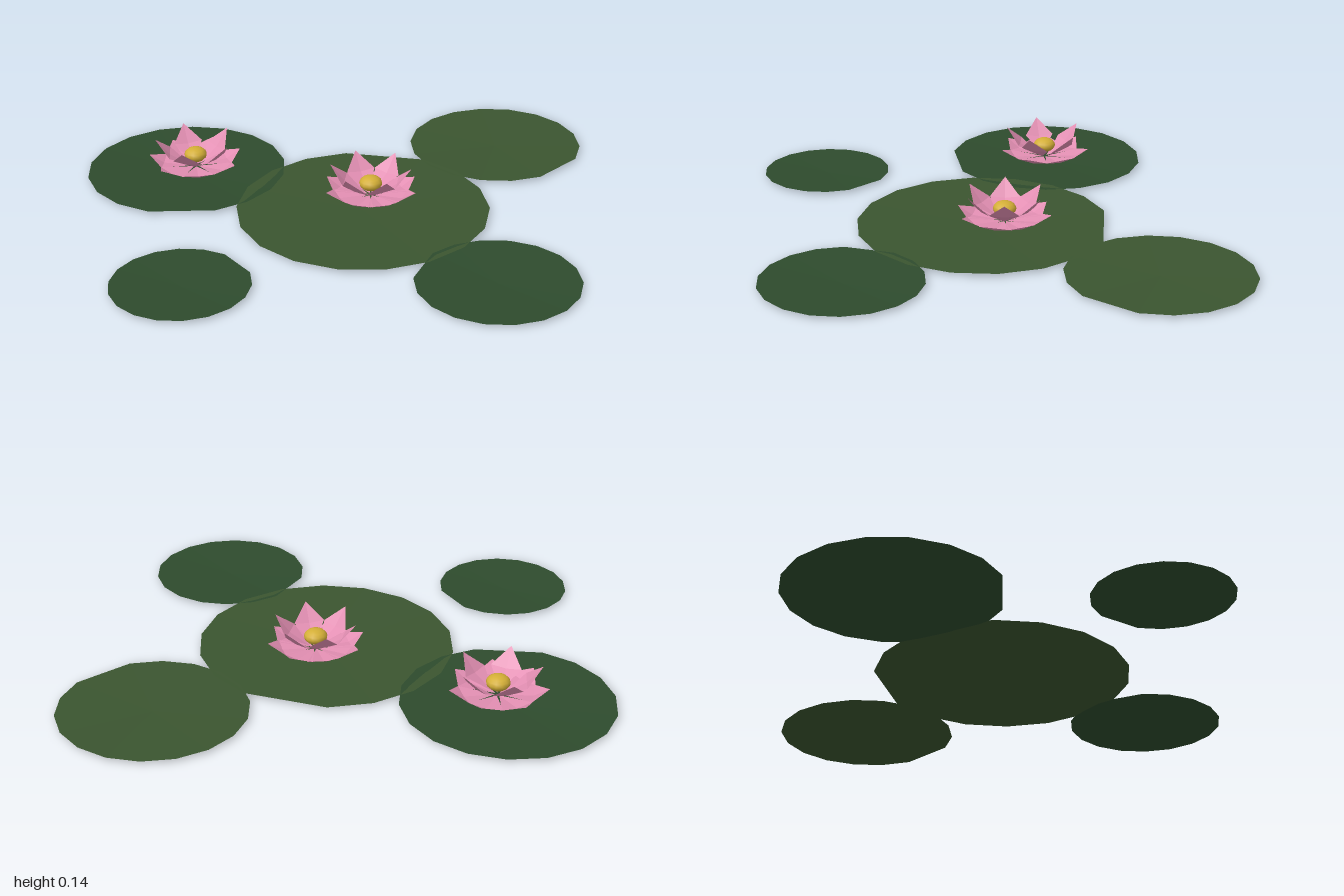
import * as THREE from 'three';

const material = (color) =>
  new THREE.MeshStandardMaterial({ color, flatShading: true, side: THREE.DoubleSide });

function facets(points, indices) {
  const g = new THREE.BufferGeometry();
  g.setAttribute('position', new THREE.Float32BufferAttribute(points.flat(), 3));
  g.setIndex(indices);
  const flat = g.toNonIndexed();
  flat.computeVertexNormals();
  return flat;
}

// Shallow dished leaf: a rim arc whose gap is closed by one straight edge
function padGeometry(radius, startDeg) {
  const segments = 16, arc = THREE.MathUtils.degToRad(322);
  const start = THREE.MathUtils.degToRad(startDeg);
  const points = [[0, 0, 0]], indices = [];
  for (let i = 0; i <= segments; i++) {
    const a = start + (arc * i) / segments;
    points.push([radius * Math.cos(a), 0.01, radius * Math.sin(a)]);
    indices.push(0, i === segments ? 1 : i + 2, i + 1);
  }
  return facets(points, indices);
}

// Kite-shaped petal pointing along +x, folded along its midrib
function petalGeometry({ base, mid, tip, halfWidth, cup }) {
  const points = [
    [base[0], base[1], 0],
    [mid[0], mid[1] + cup, halfWidth],
    [mid[0], mid[1], 0],
    [mid[0], mid[1] + cup, -halfWidth],
    [tip[0], tip[1], 0],
  ];
  return facets(points, [0, 1, 2, 0, 2, 3, 1, 4, 2, 2, 4, 3]);
}

const outerPetal = petalGeometry({
  base: [0.01, 0.027], mid: [0.12, 0.034], tip: [0.173, 0.065], halfWidth: 0.06, cup: 0.008,
});
const innerPetal = petalGeometry({
  base: [0.02, 0.03], mid: [0.095, 0.075], tip: [0.147, 0.137], halfWidth: 0.054, cup: 0.006,
});
const pink = material(0xe38fb3);
const yellow = new THREE.MeshStandardMaterial({ color: 0xd4af37 });

function petalRing(name, geometry, count, offset) {
  const ring = new THREE.Group();
  ring.name = name;
  for (let i = 0; i < count; i++) {
    const petal = new THREE.Mesh(geometry, pink);
    petal.name = 'petal';
    petal.rotation.y = offset + (i / count) * Math.PI * 2;
    ring.add(petal);
  }
  return ring;
}

function makeFlower(x, z, outerCount) {
  const flower = new THREE.Group();
  flower.name = 'flower';
  flower.position.set(x, 0, z);
  flower.add(petalRing('outerPetals', outerPetal, outerCount, 0));
  flower.add(petalRing('innerPetals', innerPetal, outerCount - 2, Math.PI / 2));
  const centre = new THREE.Mesh(new THREE.SphereGeometry(0.042, 12, 8), yellow);
  centre.name = 'flowerCentre';
  centre.scale.y = 0.65;
  centre.position.y = 0.073;
  flower.add(centre);
  return flower;
}

export function createModel() {
  const model = new THREE.Group();
  model.name = 'waterLilies';
  const light = material(0x3b5530), dark = material(0x2e4b2d);

  // Floating leaves: x, z, radius, rim start in degrees, material
  const pads = [
    [0, -0.013, 0.454, -38, light],
    [-0.489, -0.561, 0.368, 129, dark],
    [0.674, -0.318, 0.326, 85, light],
    [0.216, 0.639, 0.281, 244, dark],
    [-0.762, 0.259, 0.238, 4, dark],
  ];
  for (const [x, z, radius, start, mat] of pads) {
    const pad = new THREE.Mesh(padGeometry(radius, start), mat);
    pad.name = 'lilyPad';
    pad.position.set(x, 0, z);
    model.add(pad);
  }

  // Blossoms
  model.add(makeFlower(0.053, -0.07, 8));
  model.add(makeFlower(-0.46, -0.537, 7));
  return model;
}
